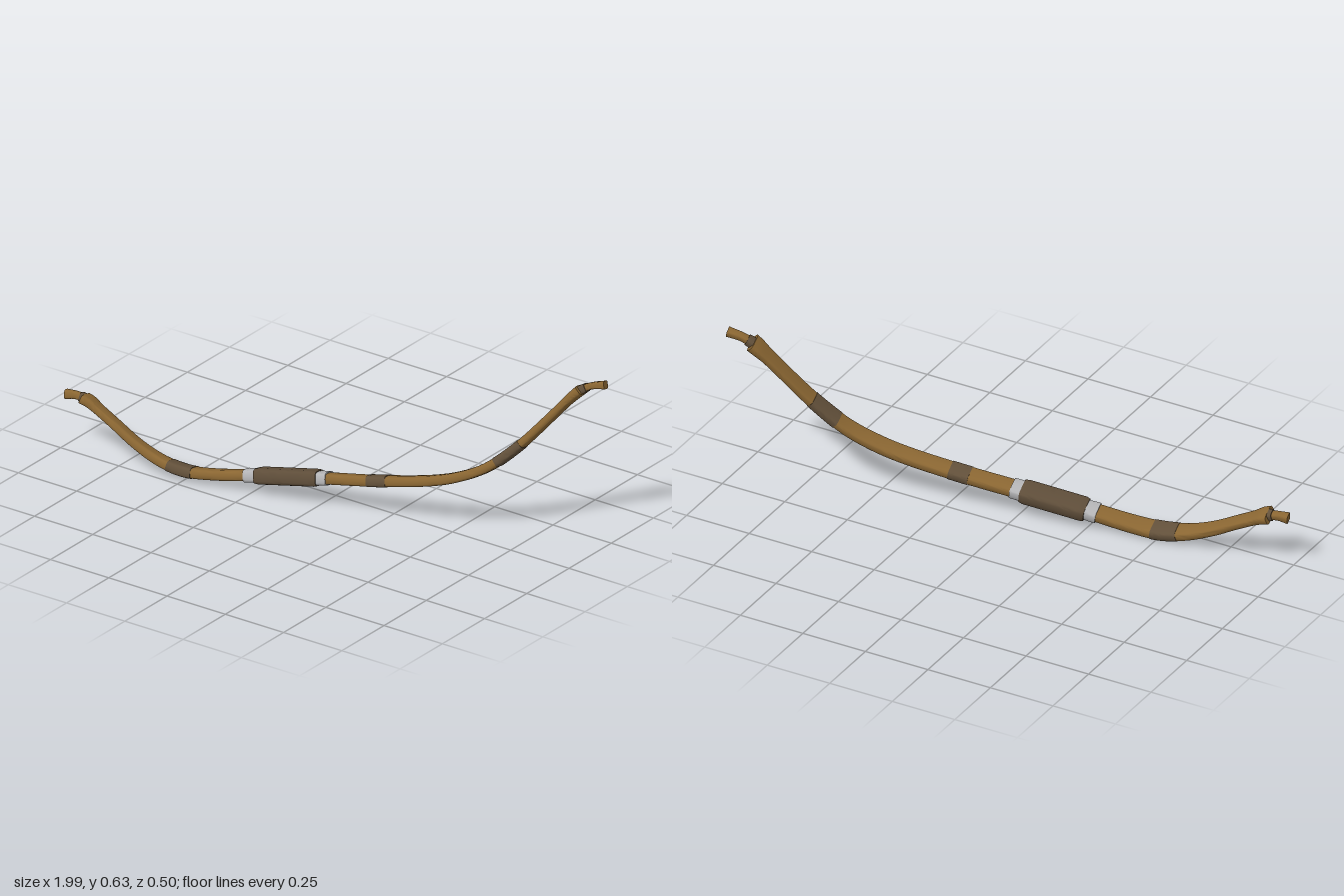
import * as THREE from 'three';
import { toCreasedNormals } from 'three/addons/utils/BufferGeometryUtils.js';

// The bow lies in one tilted plane; SIDE is that plane's normal.
const SIDE = new THREE.Vector3(0.175, 0.28, 1).normalize();
const onPlane = (x, y) =>
  new THREE.Vector3(x, y, 0.107 - 0.175 * (x + 0.125) - 0.28 * (y - 0.085));

// Each row: x, y, width, thickness
const LIMB = [
  [-0.925, 0.205, 0.074, 0.036], [-0.9, 0.197, 0.07, 0.034], [-0.865, 0.178, 0.06, 0.03],
  [-0.8, 0.143, 0.058, 0.03], [-0.7, 0.088, 0.059, 0.032], [-0.6, 0.049, 0.066, 0.036],
  [-0.5, 0.033, 0.073, 0.038], [-0.4, 0.041, 0.07, 0.038], [-0.26, 0.065, 0.066, 0.039],
  [0, 0.105, 0.066, 0.039], [0.2, 0.134, 0.066, 0.038], [0.4, 0.173, 0.066, 0.037],
  [0.5, 0.205, 0.066, 0.036], [0.6, 0.257, 0.064, 0.034], [0.7, 0.347, 0.06, 0.032],
  [0.8, 0.467, 0.058, 0.03], [0.85, 0.53, 0.06, 0.03], [0.88, 0.565, 0.069, 0.034],
  [0.9, 0.586, 0.073, 0.036],
];
const TIP_LEFT = [
  [0.885, 0.572, 0.034, 0.026], [0.91, 0.592, 0.032, 0.025],
  [0.94, 0.607, 0.03, 0.025], [0.986, 0.618, 0.034, 0.029],
];
const TIP_RIGHT = [
  [-0.905, 0.2, 0.034, 0.026], [-0.93, 0.207, 0.032, 0.026],
  [-0.96, 0.21, 0.03, 0.028], [-0.994, 0.207, 0.036, 0.034],
];

function path(rows) {
  const centre = new THREE.CatmullRomCurve3(rows.map(([x, y]) => onPlane(x, y)));
  const size = new THREE.CatmullRomCurve3(rows.map(([, , w, t]) => new THREE.Vector3(w, t, 0)));
  return { centre, size };
}

// Curve parameter at a given x on the limb
function paramAt(p, x) {
  let lo = 0, hi = 1;
  for (let i = 0; i < 30; i++) {
    const mid = (lo + hi) / 2;
    if (p.centre.getPoint(mid).x < x) lo = mid; else hi = mid;
  }
  return lo;
}

// Sweep a rounded rectangular section along a path; sizeAt gives [width, thickness]
function sweep(p, t0, t1, steps, sizeAt) {
  const SIDES = 20;
  const pos = [], index = [];
  const soft = (v) => Math.sign(v) * Math.pow(Math.abs(v), 0.5);
  for (let i = 0; i <= steps; i++) {
    const f = i / steps, t = t0 + (t1 - t0) * f;
    const c = p.centre.getPoint(t);
    const up = SIDE.clone().cross(p.centre.getTangent(t)).normalize();
    const [w, h] = sizeAt(t, f);
    for (let j = 0; j < SIDES; j++) {
      const a = (j / SIDES) * Math.PI * 2;
      const v = c.clone()
        .addScaledVector(SIDE, soft(Math.cos(a)) * w / 2)
        .addScaledVector(up, soft(Math.sin(a)) * h / 2);
      pos.push(v.x, v.y, v.z);
    }
  }
  for (let i = 0; i < steps; i++) {
    for (let j = 0; j < SIDES; j++) {
      const k = (j + 1) % SIDES, a = i * SIDES, b = a + SIDES;
      index.push(a + j, b + j, a + k, a + k, b + j, b + k);
    }
  }
  // End caps
  const last = steps * SIDES;
  for (let j = 1; j < SIDES - 1; j++) {
    index.push(0, j, j + 1, last, last + j + 1, last + j);
  }
  const g = new THREE.BufferGeometry();
  g.setAttribute('position', new THREE.Float32BufferAttribute(pos, 3));
  g.setIndex(index);
  return toCreasedNormals(g, 0.7);
}

export function createModel() {
  const mat = (name, color) => {
    const m = new THREE.MeshStandardMaterial({ color });
    m.name = name;
    return m;
  };
  const wood = mat('wood', 0x8a6632);
  const leather = mat('dark leather', 0x5e4d39);
  const binding = mat('brown binding', 0x62503a);
  const silver = mat('pale metal', 0xb4b4b6);

  const group = new THREE.Group();
  group.name = 'bow';
  const add = (name, geometry, material) => {
    const mesh = new THREE.Mesh(geometry, material);
    mesh.name = name;
    group.add(mesh);
  };
  const own = (p, extra = 0) => (t) => {
    const s = p.size.getPoint(t);
    return [s.x + extra, s.y + extra];
  };

  // Curved wooden stave
  const limb = path(LIMB);
  add('stave', sweep(limb, 0, 1, 90, own(limb)), wood);

  // Bindings and metal collars hugging the stave
  const sleeve = (name, x0, x1, material, extra) =>
    add(name, sweep(limb, paramAt(limb, x0), paramAt(limb, x1), 10, own(limb, extra)), material);
  sleeve('rightBinding', -0.57, -0.475, binding, 0.003);
  sleeve('innerBinding', 0.175, 0.245, binding, 0.003);
  sleeve('leftBinding', 0.635, 0.715, binding, 0.003);
  sleeve('rightCollar', -0.28, -0.23, silver, 0.008);
  sleeve('leftCollar', -0.02, 0.025, silver, 0.008);

  // Thick grip with slightly bevelled ends
  const gripSize = (t, f) => {
    const k = f === 0 || f === 1 ? 0.92 : 1;
    return [0.087 * k, 0.058 * k];
  };
  add('grip', sweep(limb, paramAt(limb, -0.24), paramAt(limb, -0.01), 16, gripSize), leather);

  // Slim nocks at both ends, each with a string wrap
  for (const [side, rows] of [['left', TIP_LEFT], ['right', TIP_RIGHT]]) {
    const tip = path(rows);
    add(side + 'Nock', sweep(tip, 0, 1, 12, own(tip)), wood);
    add(side + 'NockWrap', sweep(tip, 0.2, 0.42, 4, own(tip, 0.007)), binding);
  }
  return group;
}
